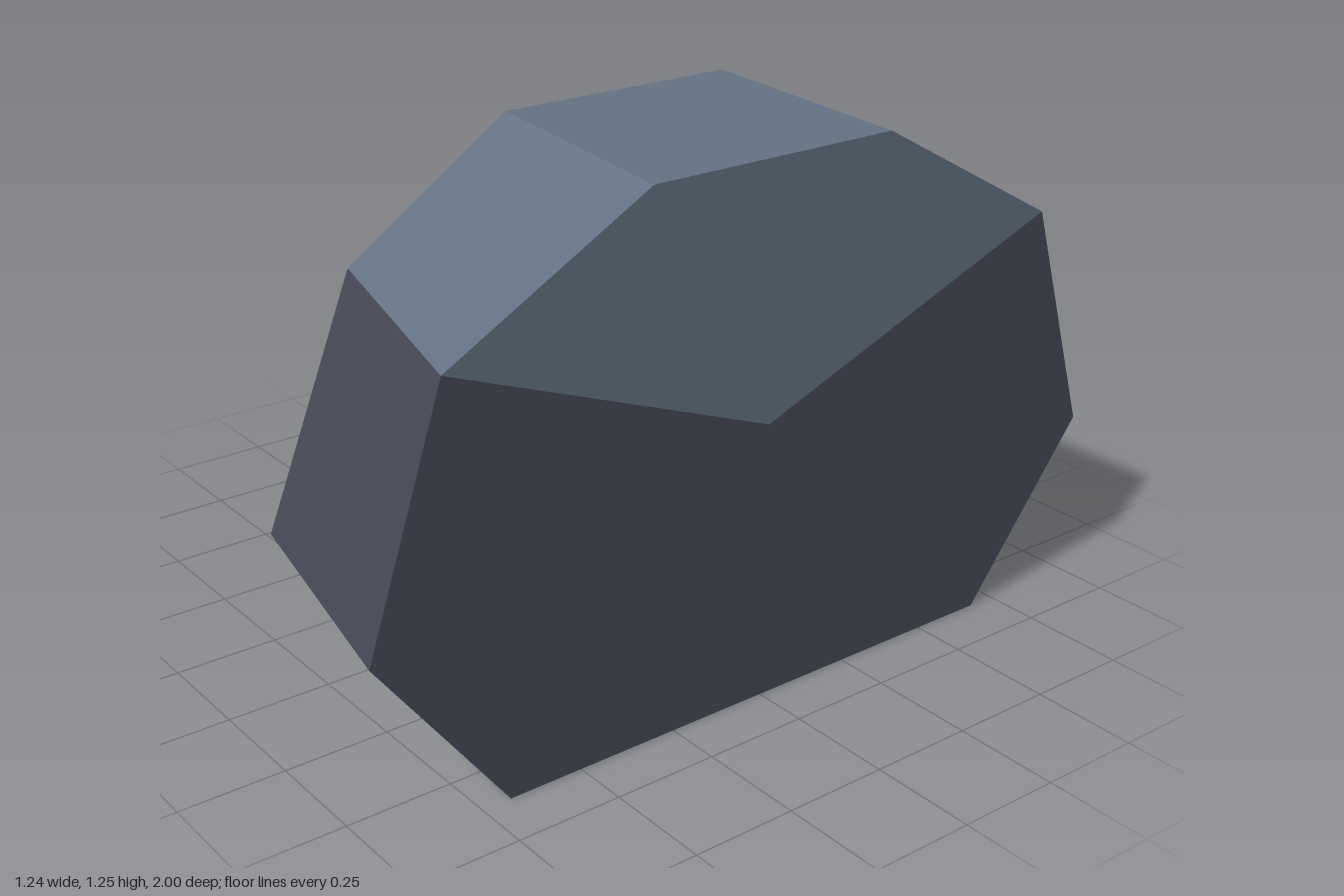
import * as THREE from 'three';

// Eight-sided sections as [z, y], from the front foot up, over the top and down the back
const end = [[0.68, 0], [1, 0.415], [0.82, 0.975], [0.32, 1.25], [-0.32, 1.25], [-0.82, 0.975], [-1, 0.415], [-0.68, 0]];
const middle = [[0.61, 0], [0.87, 0.415], [0.65, 0.975], [0.24, 1.25], [-0.38, 1.25], [-0.8, 0.975], [-0.975, 0.415], [-0.63, 0]];
const ring = (points, x, scale = 1) => points.map(([z, y]) => new THREE.Vector3(x, y * scale, z * scale));
const mix = (a, b, t) => a.clone().lerp(b, t);

function facets(name, polygons, material) {
  const positions = [];
  for (const p of polygons) {
    for (let i = 1; i < p.length - 1; i++) {
      for (const v of [p[0], p[i], p[i + 1]]) positions.push(v.x, v.y, v.z);
    }
  }
  const geometry = new THREE.BufferGeometry();
  geometry.setAttribute('position', new THREE.Float32BufferAttribute(positions, 3));
  geometry.computeVertexNormals();
  const mesh = new THREE.Mesh(geometry, material);
  mesh.name = name;
  return mesh;
}

export function createModel() {
  const stone = new THREE.MeshStandardMaterial({ color: 0x474a57 });
  stone.name = 'dark stone';
  const top = new THREE.MeshStandardMaterial({ color: 0x627282 });
  top.name = 'light stone';

  const small = ring(end, -0.62, 0.42);
  const mid = ring(middle, 0);
  const large = ring(end, 0.62);
  const dark = [], light = [];

  // Streaks on the sloping upper facets: [tip reach, spill past the diagonal]
  const streaks = { 2: [0.93, 0.17], 3: [0.98, 0.17], 4: [0.97, 0] };

  for (let i = 0; i < 8; i++) {
    const j = (i + 1) % 8;
    const streak = streaks[i];

    // Straight half
    (streak ? light : dark).push([mid[i], large[i], large[j]], [mid[i], large[j], mid[j]]);

    // Tapering half
    const s = small[i], a = mid[i], b = mid[j], e = small[j];
    if (!streak) {
      dark.push([s, a, b], [s, b, e]);
      continue;
    }
    const [reach, spill] = streak;
    const q = mix(a, s, reach), p = mix(b, s, reach), r = mix(b, e, spill);
    light.push([a, b, p, q]);
    dark.push([s, q, p]);
    if (spill) light.push([b, r, p]);
    dark.push([s, p, r, e]);
  }

  // Flat ends; the light top dips to a point on the large one
  const dip = new THREE.Vector3(0.62, 0.66, 0);
  dark.push(small);
  light.push([dip, large[5], large[4], large[3], large[2]]);
  dark.push([dip, large[2], large[1], large[0], large[7], large[6], large[5]]);

  const rock = new THREE.Group();
  rock.name = 'rock';
  rock.add(facets('rockBody', dark, stone), facets('rockTop', light, top));
  return rock;
}
